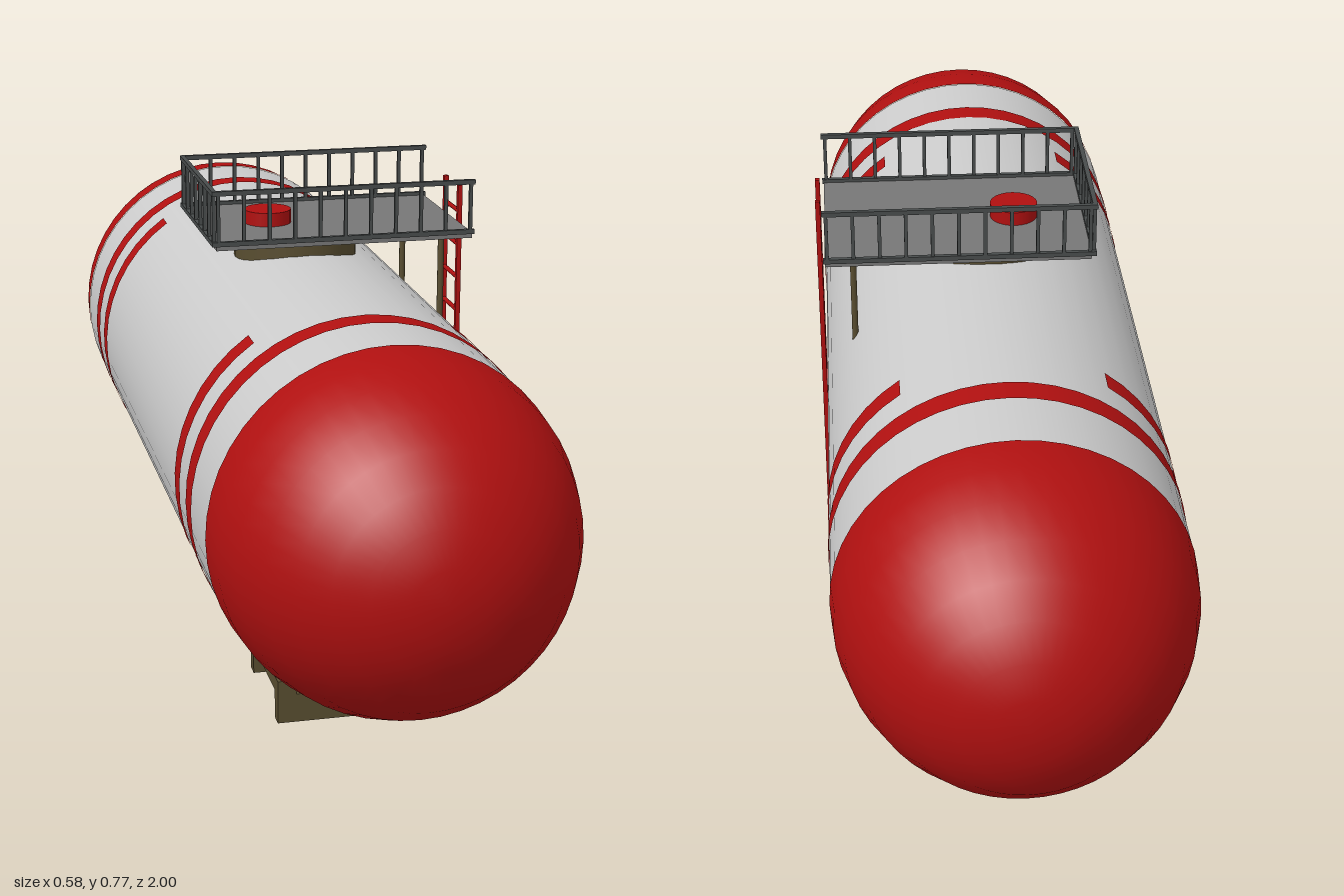
import * as THREE from 'three';

const mat = (color) => new THREE.MeshStandardMaterial({ color });
const GREY = mat(0xcccccc), RED = mat(0xb01010), OLIVE = mat(0x584d30);
const DECK = mat(0x777777), STEEL = mat(0x484c4c);
const BAND = new THREE.MeshStandardMaterial({ color: 0xb01010, side: THREE.DoubleSide });

const CX = -0.004, CY = 0.355, R = 0.285, HALF = 0.67, SEG = 48;

export function createModel() {
  const root = new THREE.Group();

  const add = (parent, name, geo, material, x = 0, y = 0, z = 0) => {
    const m = new THREE.Mesh(geo, material);
    m.name = name;
    m.position.set(x, y, z);
    parent.add(m);
    return m;
  };
  // Box given by its lower and upper limits on each axis
  const box = (parent, name, material, x0, x1, y0, y1, z0, z1) =>
    add(parent, name, new THREE.BoxGeometry(x1 - x0, y1 - y0, z1 - z0), material,
      (x0 + x1) / 2, (y0 + y1) / 2, (z0 + z1) / 2);
  const group = (name) => {
    const g = new THREE.Group();
    g.name = name;
    root.add(g);
    return g;
  };
  // Open cylinder wall lying along z
  const shell = (r, length, start = 0, sweep = Math.PI * 2, seg = SEG) =>
    new THREE.CylinderGeometry(r, r, length, seg, 1, true, start, sweep).rotateX(Math.PI / 2);

  // Tank body, domed ends and painted bands
  const tank = group('tank');
  add(tank, 'tankBody', shell(R, HALF * 2), GREY, CX, CY);
  const rad = THREE.MathUtils.degToRad;
  for (const s of [1, -1]) {
    const cap = new THREE.SphereGeometry(R + 0.001, SEG, 8, 0, Math.PI * 2, 0, Math.PI / 2);
    cap.scale(1, (1 - HALF) / R, 1).rotateX(s * Math.PI / 2);
    add(tank, 'domedEnd', cap, RED, CX, CY, s * HALF);
    add(tank, 'fullBand', shell(R + 0.002, 0.048), BAND, CX, CY, s * 0.527);
    for (const start of [55, -145])
      add(tank, 'sideBand', shell(R + 0.002, 0.045, rad(start), rad(90), 12), BAND, CX, CY, s * 0.422);
  }

  // Skid: two long rails on six cross beams
  const skid = group('skid');
  for (const x of [-0.162, 0.126])
    box(skid, 'skidRail', OLIVE, x, x + 0.03, 0.048, 0.072, -0.587, 0.587);
  for (const z of [-0.575, -0.375, -0.137, 0.145, 0.382, 0.575])
    box(skid, 'crossBeam', OLIVE, -0.162, 0.156, 0, 0.048, z - 0.012, z + 0.012);

  // Neck on top of the tank, deck, hatch and deck supports
  const platform = group('platform');
  add(platform, 'neck', new THREE.CylinderGeometry(0.108, 0.108, 0.1, 32), OLIVE, CX, 0.618);
  box(platform, 'deck', DECK, -0.173, 0.275, 0.668, 0.678, -0.154, 0.154);
  add(platform, 'hatch', new THREE.CylinderGeometry(0.041, 0.041, 0.03, 24), RED, -0.053, 0.687);
  for (const z of [-0.126, 0.126])
    add(platform, 'deckSupport', new THREE.CylinderGeometry(0.0055, 0.0055, 0.16, 10), OLIVE, 0.228, 0.59, z);

  // Guard rail on three sides, open at the ladder
  const guard = group('guardRail');
  const T = 0.004, GX0 = -0.177, GX1 = 0.278, GZ = 0.155;
  for (const [y0, y1] of [[0.676, 0.684], [0.763, 0.771]]) {
    for (const z of [-GZ, GZ])
      box(guard, 'longRail', STEEL, GX0 - T, GX1, y0, y1, z - T, z + T);
    box(guard, 'endRail', STEEL, GX0 - T, GX0 + T, y0, y1, -GZ, GZ);
  }
  const post = (x, z) =>
    box(guard, 'guardPost', STEEL, x - 0.003, x + 0.003, 0.68, 0.767, z - 0.003, z + 0.003);
  for (let i = 0; i <= 10; i++)
    for (const z of [-GZ, GZ]) post(-0.17 + i * 0.0441, z);
  for (let i = 0; i <= 7; i++) post(GX0, -0.15 + i * 0.3 / 7);

  // Ladder
  const ladder = group('ladder');
  for (const z of [-0.043, 0.043])
    box(ladder, 'ladderRail', RED, 0.281, 0.289, 0.028, 0.737, z - 0.0045, z + 0.0045);
  for (let i = 0; i <= 10; i++) {
    const rung = new THREE.CylinderGeometry(0.004, 0.004, 0.086, 8).rotateX(Math.PI / 2);
    add(ladder, 'rung', rung, RED, 0.285, 0.085 + i * 0.0605);
  }

  return root;
}
